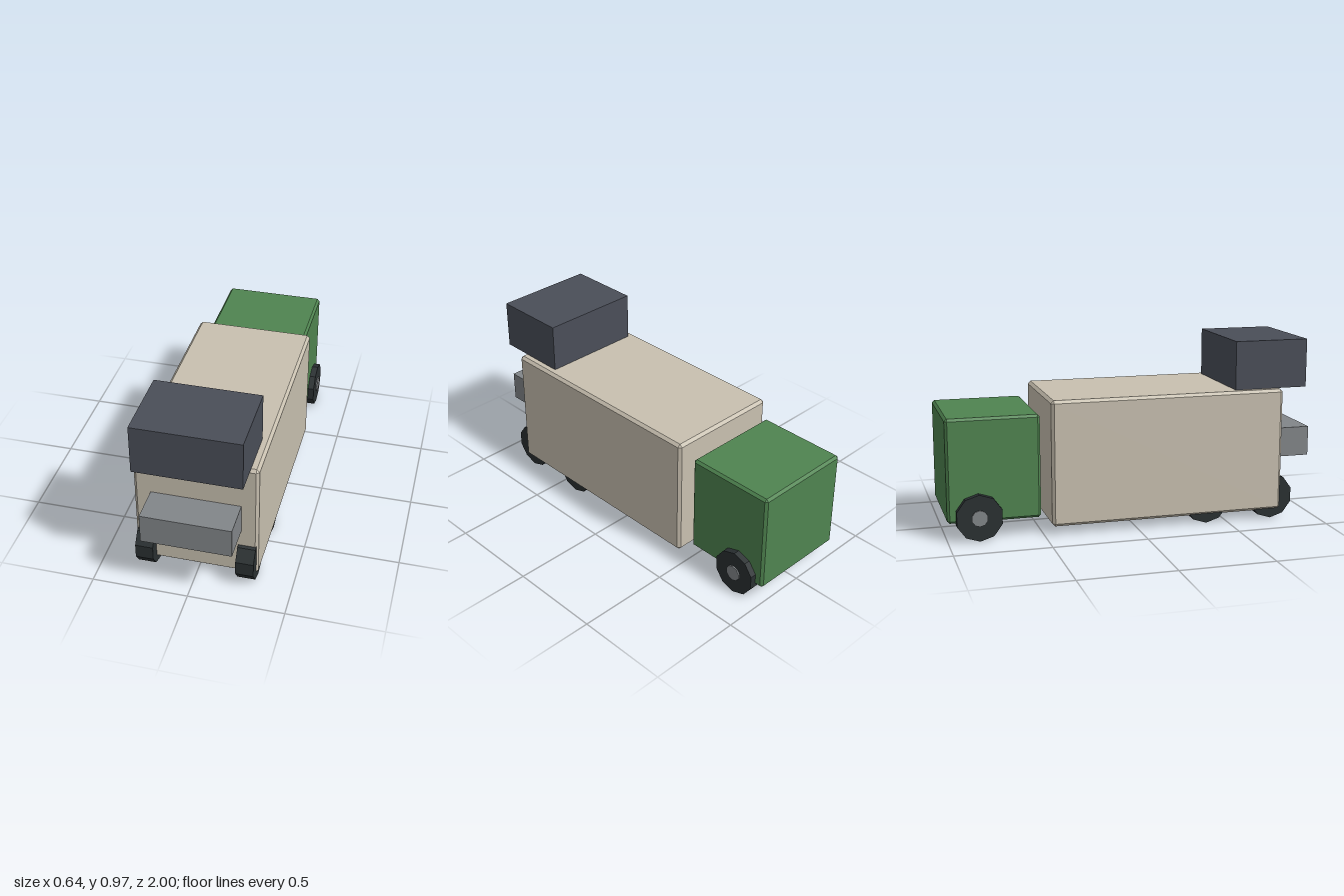
import * as THREE from 'three';
import { ConvexGeometry } from 'three/addons/geometries/ConvexGeometry.js';

const material = (name, color) => {
  const m = new THREE.MeshStandardMaterial({ color });
  m.name = name;
  return m;
};

// Box with a narrow chamfer c on every edge
function chamferBox(w, h, d, c) {
  const points = [];
  for (const sx of [-1, 1]) for (const sy of [-1, 1]) for (const sz of [-1, 1]) {
    for (let axis = 0; axis < 3; axis++) {
      const inset = [c, c, c];
      inset[axis] = 0;
      points.push(new THREE.Vector3(
        sx * (w / 2 - inset[0]), sy * (h / 2 - inset[1]), sz * (d / 2 - inset[2])));
    }
  }
  return new ConvexGeometry(points);
}

// Ten-sided disc lying along x, with a flat side down
function disc(radius, width) {
  const g = new THREE.CylinderGeometry(radius, radius, width, 10).rotateZ(Math.PI / 2).toNonIndexed();
  g.rotateX(Math.PI / 2);
  g.computeVertexNormals();
  return g;
}

export function createModel() {
  const model = new THREE.Group();
  model.name = 'truck';
  const cream = material('cream', 0xc8c0b0);
  const green = material('green', 0x4f8450);
  const slate = material('slate', 0x4a4e58);
  const grey = material('grey', 0x828689);
  const rubber = material('rubber', 0x2a3032);

  const add = (parent, name, geometry, mat, x, y, z) => {
    const mesh = new THREE.Mesh(geometry, mat);
    mesh.name = name;
    mesh.position.set(x, y, z);
    parent.add(mesh);
  };

  // Bodies
  add(model, 'cargoBody', chamferBox(0.636, 0.665, 1.27, 0.015), cream, 0, 0.3735, 0.175);
  add(model, 'cab', chamferBox(0.55, 0.545, 0.488, 0.013), green, 0, 0.36, -0.754);

  // Boxes on the roof and the front wall
  add(model, 'roofUnit', new THREE.BoxGeometry(0.55, 0.26, 0.404), slate, 0, 0.836, 0.754);
  add(model, 'frontUnit', new THREE.BoxGeometry(0.463, 0.16, 0.2), grey, 0, 0.394, 0.9);

  // Three axles of mirrored wheels
  const tyre = disc(0.123, 0.093);
  const hub = disc(0.043, 0.1);
  for (const [axle, z] of [['front', 0.754], ['middle', 0.385], ['rear', -0.837]]) {
    for (const [side, s] of [['Left', 1], ['Right', -1]]) {
      const wheel = new THREE.Group();
      wheel.name = `${axle}${side}Wheel`;
      wheel.position.set(s * 0.262, 0.117, z);
      add(wheel, 'tyre', tyre, rubber, 0, 0, 0);
      add(wheel, 'hub', hub, grey, s * 0.004, 0, 0);
      model.add(wheel);
    }
  }
  return model;
}
